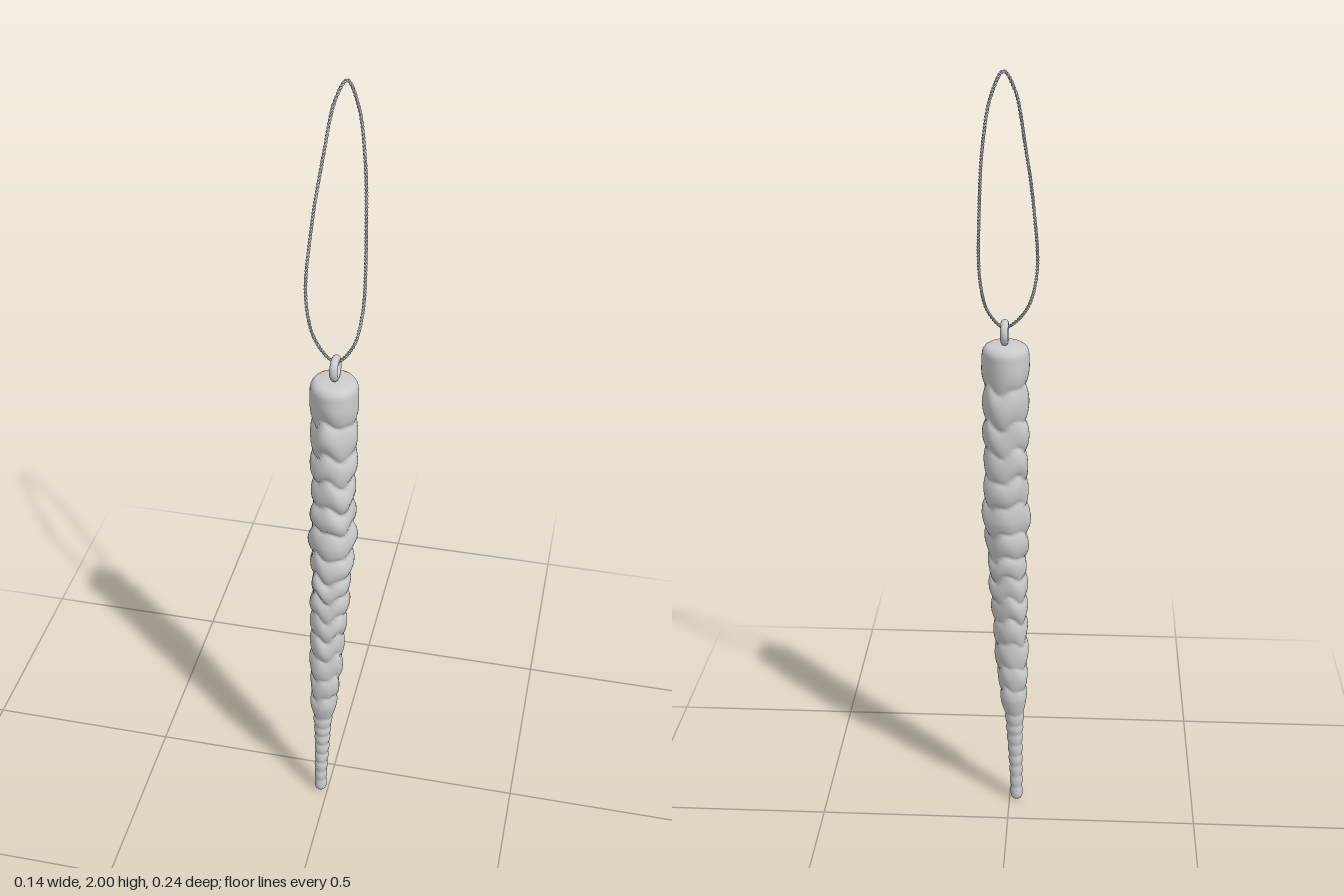
import * as THREE from 'three';
import { mergeVertices } from 'three/addons/utils/BufferGeometryUtils.js';

const material = new THREE.MeshStandardMaterial({ color: 0xcccccc, roughness: 0.6 });

// Stations along the icicle: height, centre x, centre z, outer radius
const stations = [
  [0, -0.02, 0.092, 0.016], [0.1, -0.018, 0.09, 0.018], [0.2, -0.015, 0.086, 0.021],
  [0.27, -0.014, 0.083, 0.025], [0.34, -0.011, 0.081, 0.037], [0.45, -0.007, 0.077, 0.042],
  [0.6, -0.002, 0.069, 0.047], [0.75, 0.004, 0.058, 0.052], [0.88, 0.006, 0.05, 0.058],
  [1.05, 0.007, 0.044, 0.056], [1.2, 0.007, 0.039, 0.058], [1.34, 0.007, 0.036, 0.056],
];

// Heights of the grooves between beads
const grooves = [0, 0.045, 0.08, 0.115, 0.15, 0.185, 0.22, 0.25, 0.285, 0.37, 0.44, 0.515, 0.585,
  0.65, 0.715, 0.775, 0.845, 0.925, 0.995, 1.07, 1.145, 1.235, 1.34];

function sample(y) {
  let i = 0;
  while (i < stations.length - 2 && y > stations[i + 1][0]) i++;
  const a = stations[i], b = stations[i + 1];
  const t = THREE.MathUtils.clamp((y - a[0]) / (b[0] - a[0]), 0, 1);
  return a.map((v, k) => v + (b[k] - v) * t);
}

// Bead profile: 0 in a groove, 1 on the crest, plus the bead's index
function bead(y) {
  let i = 0;
  while (i < grooves.length - 2 && y > grooves[i + 1]) i++;
  const t = THREE.MathUtils.clamp((y - grooves[i]) / (grooves[i + 1] - grooves[i]), 0, 1);
  return [Math.pow(Math.sin(Math.PI * t), 0.6), i];
}

// Lathe whose wall is swollen into lumpy, slightly wavy beads along a leaning axis
function icicleGeometry() {
  const H = 1.34, rows = 260, profile = [new THREE.Vector2(0, 0)];
  for (let i = 0; i <= rows; i++) {
    const y = 0.001 + (H - 0.002) * i / rows;
    const tip = Math.sqrt(1 - Math.pow(Math.max(0, 1 - y / 0.016), 2));
    const cap = Math.sqrt(1 - Math.pow(Math.max(0, 1 - (H - y) / 0.025), 2));
    profile.push(new THREE.Vector2(tip * (0.62 + 0.38 * cap), y));
  }
  profile.push(new THREE.Vector2(0, H));
  let geo = new THREE.LatheGeometry(profile, 40);
  geo.deleteAttribute('uv');
  geo.deleteAttribute('normal');
  geo = mergeVertices(geo, 1e-5);
  const p = geo.attributes.position;
  for (let i = 0; i < p.count; i++) {
    const y = p.getY(i), a = Math.atan2(p.getZ(i), p.getX(i));
    const [, cx, cz, r] = sample(y);
    const big = THREE.MathUtils.smoothstep(y, 0.25, 0.4);
    const ends = THREE.MathUtils.smoothstep(H - y, 0, 0.08);
    const wave = big * ends * (0.009 * Math.sin(3 * a + 5 * y) + 0.006 * Math.sin(5 * a - 9 * y));
    const [crest, n] = bead(y + wave);
    const depth = (y > 1.29 ? 0 : 0.23) * (0.85 + 0.15 * Math.sin(a));
    const lump = 1 + big * ends * crest * (0.04 * Math.sin(2 * a + n * 2.1) + 0.03 * Math.sin(4 * a + n * 1.3));
    const s = r * (1 - depth * (1 - crest)) * lump;
    p.setXYZ(i, cx + p.getX(i) * s, y, cz + p.getZ(i) * s);
  }
  geo.computeVertexNormals();
  return geo;
}

// Outline of the hanging loop in its leaning plane
const loop = new THREE.CatmullRomCurve3([
  [0.003, 1.996], [0.03, 1.945], [0.05, 1.84], [0.062, 1.68], [0.064, 1.5], [0.046, 1.42], [0.009, 1.382],
  [-0.04, 1.425], [-0.067, 1.52], [-0.061, 1.68], [-0.041, 1.84], [-0.021, 1.955],
].map(([x, y]) => new THREE.Vector3(x, y, 0.03 - 0.2295 * (y - 1.38))), true, 'centripetal');
const loopNormal = new THREE.Vector3(0, 0.2295, 1).normalize();

// One strand winding around the loop
class Strand extends THREE.Curve {
  constructor(phase) {
    super();
    this.phase = phase;
    this.arcLengthDivisions = 1600;
  }
  getPoint(t, target = new THREE.Vector3()) {
    const u = ((t % 1) + 1) % 1;
    const side = loop.getTangentAt(u).cross(loopNormal);
    const w = this.phase + t * 80 * Math.PI * 2;
    return target.copy(loop.getPointAt(u))
      .addScaledVector(loopNormal, 0.0019 * Math.cos(w))
      .addScaledVector(side, 0.0019 * Math.sin(w));
  }
}

export function createModel() {
  const model = new THREE.Group();
  model.name = 'icicleOrnament';
  const add = (name, geometry, parent = model) => {
    const mesh = new THREE.Mesh(geometry, material);
    mesh.name = name;
    parent.add(mesh);
    return mesh;
  };

  add('icicle', icicleGeometry());

  // Ring set into the top of the icicle
  const eyelet = add('eyelet', new THREE.TorusGeometry(0.022, 0.0095, 14, 32));
  eyelet.rotation.y = Math.PI / 2;
  eyelet.position.set(0.009, 1.368, 0.034);

  // Two-strand twisted cord
  const cord = new THREE.Group();
  cord.name = 'hangingCord';
  model.add(cord);
  for (let i = 0; i < 2; i++) {
    add('cordStrand' + (i + 1), new THREE.TubeGeometry(new Strand(i * Math.PI), 960, 0.0022, 6, true), cord);
  }
  return model;
}
